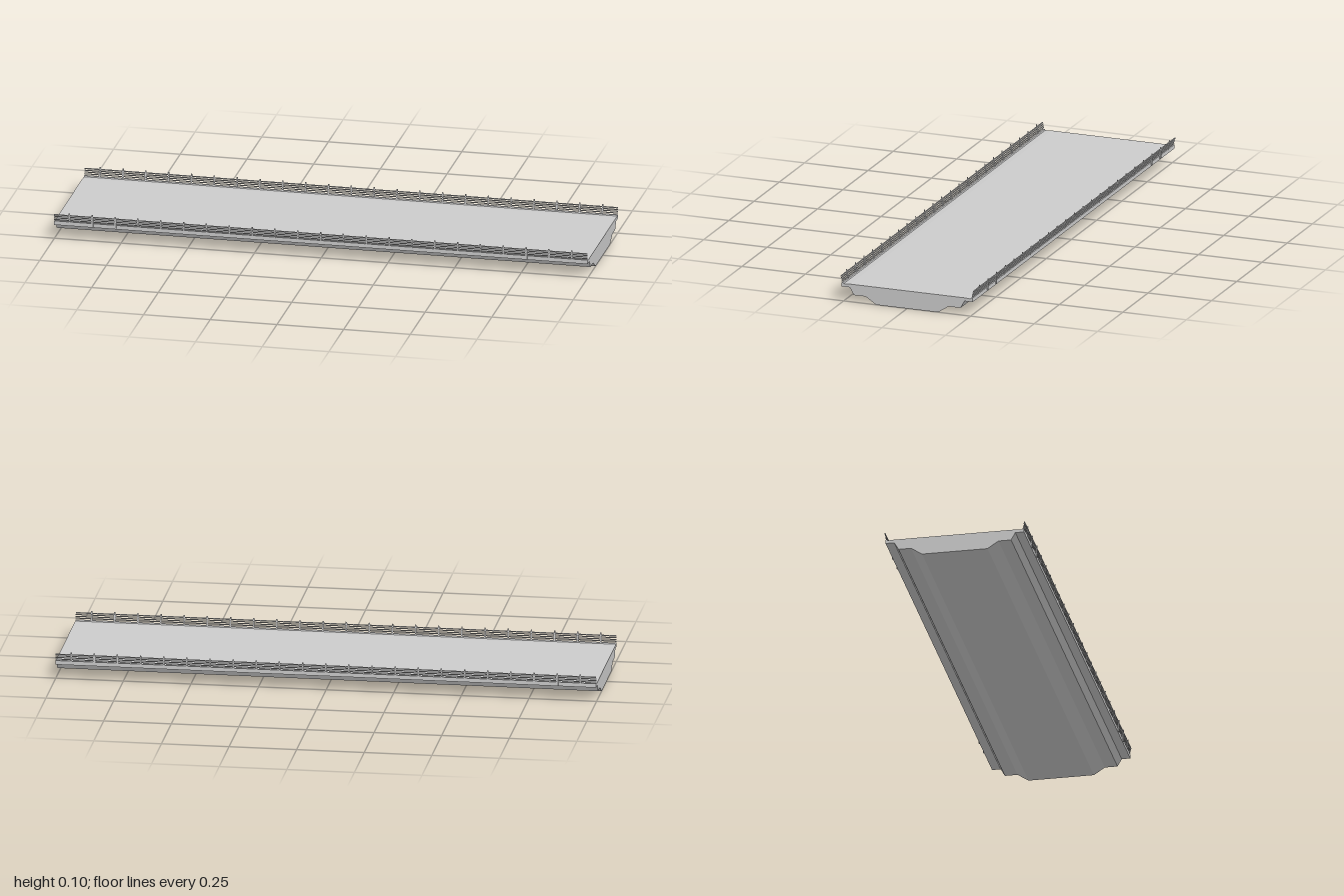
import * as THREE from 'three';

export function createModel() {
  const model = new THREE.Group();
  const material = new THREE.MeshStandardMaterial({ color: 0xcccccc, flatShading: true });

  // Extrudes a (z, y) outline along x, centred on the given x
  function extrudeAlongX(name, points, length, x = 0) {
    const shape = new THREE.Shape(points.map(([z, y]) => new THREE.Vector2(-z, y)));
    const geometry = new THREE.ExtrudeGeometry(shape, { depth: length, bevelEnabled: false });
    geometry.translate(0, 0, -length / 2);
    geometry.rotateY(Math.PI / 2);
    const mesh = new THREE.Mesh(geometry, material);
    mesh.name = name;
    mesh.position.x = x;
    return mesh;
  }

  // Deck: box girder with stepped haunches and thin edge slabs
  const half = [
    [0.122, 0], [0.163, 0.027], [0.21, 0.027], [0.226, 0.055],
    [0.258, 0.055], [0.258, 0.07], [0.252, 0.07], [0.25, 0.066], [0.226, 0.0675],
  ];
  const mirrored = half.map(([z, y]) => [-z, y]).reverse();
  model.add(extrudeAlongX('deck', [...half, ...mirrored], 2));

  // Railings along both edges
  const spacing = 0.0856;
  for (const side of [1, -1]) {
    const railing = new THREE.Group();
    railing.name = side > 0 ? 'frontRailing' : 'backRailing';
    const flip = (points) => points.map(([z, y]) => [z * side, y]);

    // Tapered posts, leaning outwards
    const post = [
      [0.2535, 0.068], [0.2585, 0.068], [0.2605, 0.085], [0.2625, 0.104],
      [0.2608, 0.104], [0.2575, 0.09],
    ];
    for (let i = -11; i <= 11; i++) {
      railing.add(extrudeAlongX('post', flip(post), 0.005, i * spacing));
    }

    // Horizontal rails following the lean of the posts
    for (const [z, y, height] of [
      [0.2565, 0.0755, 0.003], [0.2575, 0.082, 0.003], [0.2588, 0.0885, 0.003], [0.26, 0.095, 0.004],
    ]) {
      const rail = new THREE.Mesh(new THREE.BoxGeometry(2, height, 0.003), material);
      rail.name = 'rail';
      rail.position.set(0, y, z * side);
      railing.add(rail);
    }

    // Fixing plates on the fascia beneath the posts near the ends
    for (const i of [-10, -9, 9, 10]) {
      const plate = new THREE.Mesh(new THREE.BoxGeometry(0.008, 0.038, 0.004), material);
      plate.name = 'fixingPlate';
      plate.position.set(i * spacing, 0.077, 0.26 * side);
      railing.add(plate);
    }
    model.add(railing);
  }
  return model;
}
